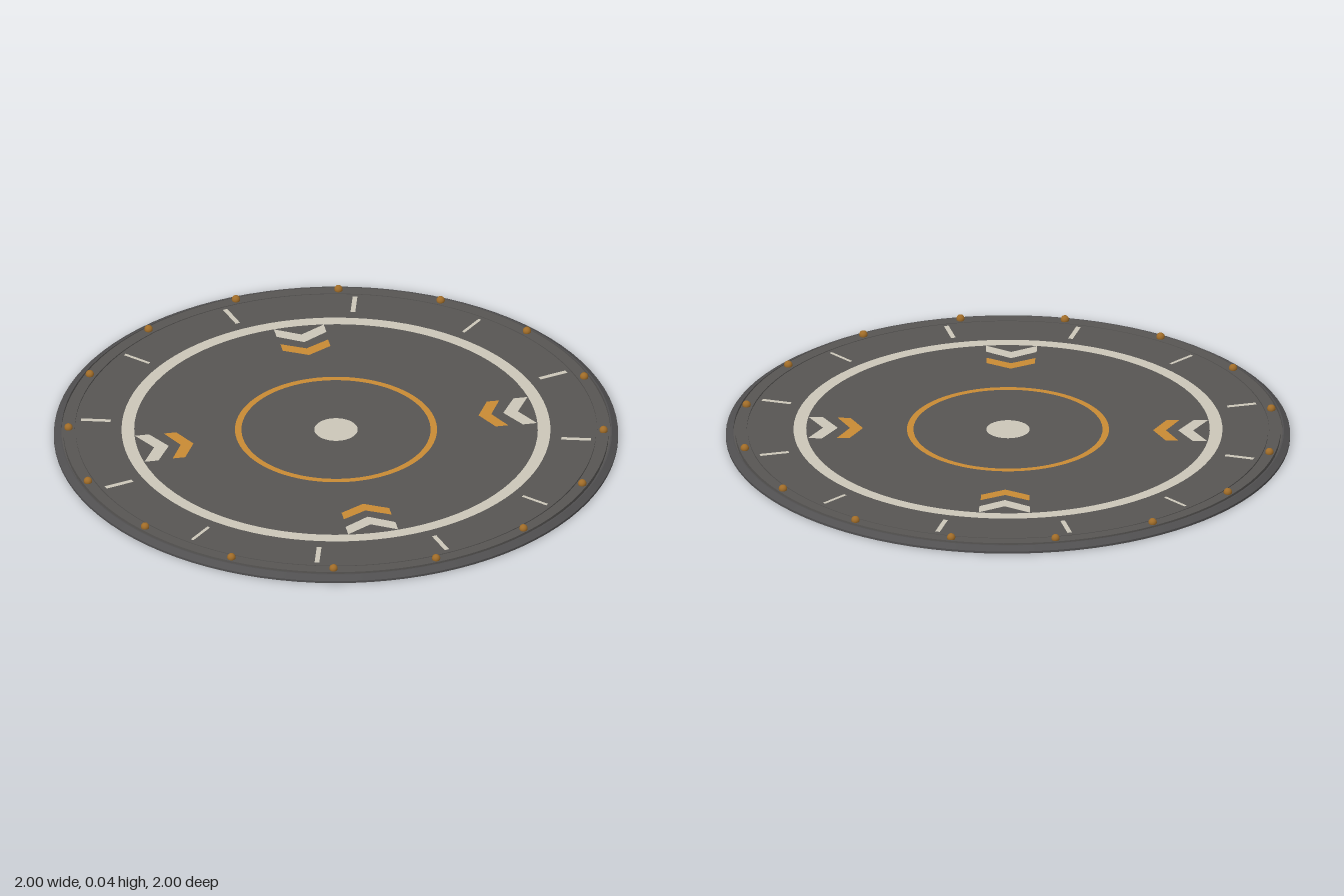
import * as THREE from 'three';
import { mergeGeometries } from 'three/addons/utils/BufferGeometryUtils.js';

const mat = (name, color) => new THREE.MeshStandardMaterial({ name, color });
const TOP = 0.025;   // deck height
const PAINT = 0.0265; // height of painted markings
const SEG = 96;

export function createModel() {
  const model = new THREE.Group();
  const deckGrey = mat('deckGrey', 0x575553);
  const rimGrey = mat('rimGrey', 0x504f50);
  const cream = mat('cream', 0xcbc6b8);
  const orange = mat('orange', 0xc88a34);
  const bronze = mat('bronze', 0xa06c28);

  const add = (name, geometry, material, parent = model) => {
    const mesh = new THREE.Mesh(geometry, material);
    mesh.name = name;
    parent.add(mesh);
    return mesh;
  };

  // Turned solid with a hard edge at every profile point
  const turned = (profile) => {
    const pts = profile.map(([r, y]) => new THREE.Vector2(r, y));
    return mergeGeometries(pts.slice(1).map((p, i) => new THREE.LatheGeometry([pts[i], p], SEG)));
  };

  // Lay a flat geometry or shape on the deck, facing up
  const flat = (geometry, y = PAINT) => geometry.rotateX(-Math.PI / 2).translate(0, y, 0);

  // Underside and bevelled rim, up to the outer lip of the groove
  add('rim', turned([[0, 0], [1, 0], [1, 0.008], [0.978, 0.022], [0.973, 0.022]]), rimGrey);

  // Deck with a deep outer groove and a fine inner seam
  add('deck', turned([
    [0.973, 0.022], [0.973, 0.01], [0.966, 0.01], [0.966, TOP],
    [0.926, TOP], [0.926, 0.019], [0.922, 0.019], [0.922, TOP], [0, TOP],
  ]), deckGrey);

  // Painted rings and centre spot
  add('outerRing', flat(new THREE.RingGeometry(0.715, 0.76, SEG)), cream);
  add('innerRing', flat(new THREE.RingGeometry(0.335, 0.358, SEG)), orange);
  add('centreSpot', flat(new THREE.CircleGeometry(0.077, 48)), cream);

  // Twelve radial tick marks
  const ticks = new THREE.Group();
  ticks.name = 'tickMarks';
  for (let i = 0; i < 12; i++) {
    const width = i % 3 === 0 ? 0.012 : 0.017;
    const tick = flat(new THREE.PlaneGeometry(0.105, width).translate(0.853, 0, 0));
    add('tickMark', tick, cream, ticks).rotation.y = (i * Math.PI) / 6;
  }
  model.add(ticks);

  // Pairs of chevrons on the diagonals, pointing at the centre
  const chevron = (tip, notch, outer, inner, half) => flat(new THREE.ShapeGeometry(new THREE.Shape([
    [tip, 0], [inner, -half], [outer, -half], [notch, 0], [outer, half], [inner, half],
  ].map(([x, y]) => new THREE.Vector2(x, y)))), PAINT + 0.0005);
  const orangeChevron = chevron(0.514, 0.56, 0.605, 0.56, 0.086);
  const creamChevron = chevron(0.603, 0.656, 0.708, 0.657, 0.09);
  for (let i = 0; i < 4; i++) {
    const pair = new THREE.Group();
    pair.name = 'chevronPair';
    add('innerChevron', orangeChevron, orange, pair);
    add('outerChevron', creamChevron, cream, pair);
    pair.rotation.y = Math.PI / 4 + (i * Math.PI) / 2;
    model.add(pair);
  }

  // Sixteen round studs near the edge
  const studs = new THREE.Group();
  studs.name = 'studs';
  const studGeometry = new THREE.SphereGeometry(0.015, 16, 10);
  for (let i = 0; i < 16; i++) {
    const a = ((i + 0.5) * Math.PI) / 8;
    add('stud', studGeometry, bronze, studs).position.set(0.948 * Math.cos(a), 0.03, 0.948 * Math.sin(a));
  }
  model.add(studs);

  return model;
}
